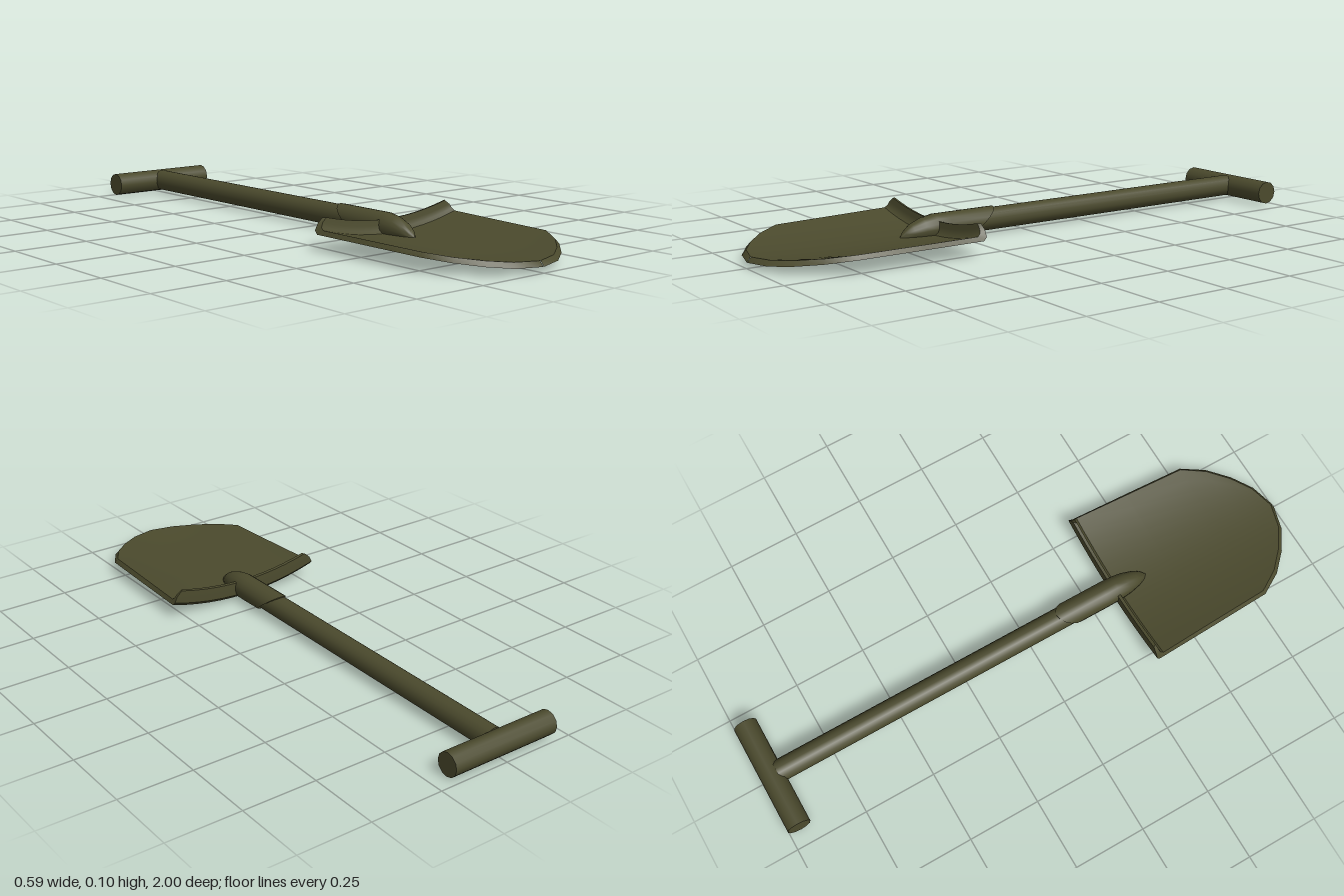
import * as THREE from 'three';
import { toCreasedNormals } from 'three/addons/utils/BufferGeometryUtils.js';

// Skin a list of equal-sized rings, running along +z and clockwise seen from +z
function loft(rings, capStart, crease) {
  const n = rings[0].length, index = [];
  for (let i = 0; i < rings.length - 1; i++) {
    for (let j = 0; j < n; j++) {
      const k = (j + 1) % n;
      const a = i * n + j, b = i * n + k, c = a + n, d = b + n;
      index.push(a, c, b, b, c, d);
    }
  }
  if (capStart) {
    for (let j = 0; j < n / 2 - 1; j++) {
      index.push(j, j + 1, n - 1 - j, j + 1, n - 2 - j, n - 1 - j);
    }
  }
  const geo = new THREE.BufferGeometry();
  geo.setAttribute('position', new THREE.Float32BufferAttribute(rings.flat(2), 3));
  geo.setIndex(index);
  return toCreasedNormals(geo, crease);
}

// Dished plate with a turned-up rear lip and a rounded tip
function bladeGeometry() {
  // top z, bottom z, top half width, bottom half width, top y, bottom y
  const rows = [
    [0.345, 0.335, 0.255, 0.262, 0.070, 0.068],
    [0.348, 0.334, 0.273, 0.281, 0.052, 0.046],
    [0.352, 0.334, 0.281, 0.292, 0.036, 0.022],
    [0.362, 0.345, 0.284, 0.293, 0.027, 0.010],
    [0.56, 0.56, 0.274, 0.284, 0.027, 0.010],
    [0.775, 0.78, 0.264, 0.274, 0.027, 0.010],
    [0.852, 0.86, 0.217, 0.227, 0.029, 0.012],
    [0.915, 0.925, 0.153, 0.162, 0.032, 0.015],
    [0.961, 0.973, 0.085, 0.091, 0.034, 0.017],
    [0.985, 0.998, 0.001, 0.001, 0.035, 0.019],
  ];
  const cols = 12;
  const rings = rows.map(([zt, zb, wt, wb, yt, yb]) => {
    const top = [], bottom = [];
    for (let j = 0; j <= cols; j++) {
      const u = (2 * j) / cols - 1;
      top.push([u * wt, yt + 0.5 * (u * wt) ** 2, zt]);
      bottom.unshift([u * wb, yb + 0.5 * (u * wb) ** 2, zb]);
    }
    return [...top, ...bottom];
  });
  return loft(rings, true, 0.7);
}

// Sleeve with a slanted mouth, narrowing down onto the blade
function socketGeometry() {
  // z, half width, top y, bottom y, slant of the ring
  const rows = [
    [0.172, 0.036, 0.086, 0.012, 0.057],
    [0.172, 0.044, 0.091, 0.003, 0.057],
    [0.30, 0.044, 0.091, 0.001, 0],
    [0.345, 0.043, 0.091, 0.001, 0],
    [0.39, 0.038, 0.082, 0.005, 0],
    [0.43, 0.028, 0.066, 0.011, 0],
    [0.455, 0.016, 0.047, 0.015, 0],
    [0.472, 0.001, 0.026, 0.018, 0],
  ];
  const sides = 16;
  const rings = rows.map(([z, w, yt, yb, slant]) =>
    Array.from({ length: sides }, (_, j) => {
      const t = (j / sides) * Math.PI * 2;
      const c = Math.cos(t);
      return [Math.sin(t) * w, (yt + yb) / 2 + (c * (yt - yb)) / 2, z - c * slant];
    }));
  return loft(rings, false, 0.8);
}

export function createModel() {
  const group = new THREE.Group();
  group.name = 'shovel';
  const olive = new THREE.MeshStandardMaterial({ color: 0x4b4a2d });
  olive.name = 'olive paint';

  const add = (name, geo) => {
    const mesh = new THREE.Mesh(geo, olive);
    mesh.name = name;
    group.add(mesh);
    return mesh;
  };

  add('blade', bladeGeometry());
  add('socket', socketGeometry());

  // Straight round shaft
  const shaft = add('shaft', new THREE.CylinderGeometry(0.038, 0.038, 1.26, 14));
  shaft.rotation.x = Math.PI / 2;
  shaft.position.set(0, 0.049, -0.31);

  // Cross grip at the rear end
  const grip = add('crossGrip', new THREE.CylinderGeometry(0.04, 0.04, 0.394, 12));
  grip.rotation.z = Math.PI / 2;
  grip.position.set(0, 0.047, -0.96);

  return group;
}
